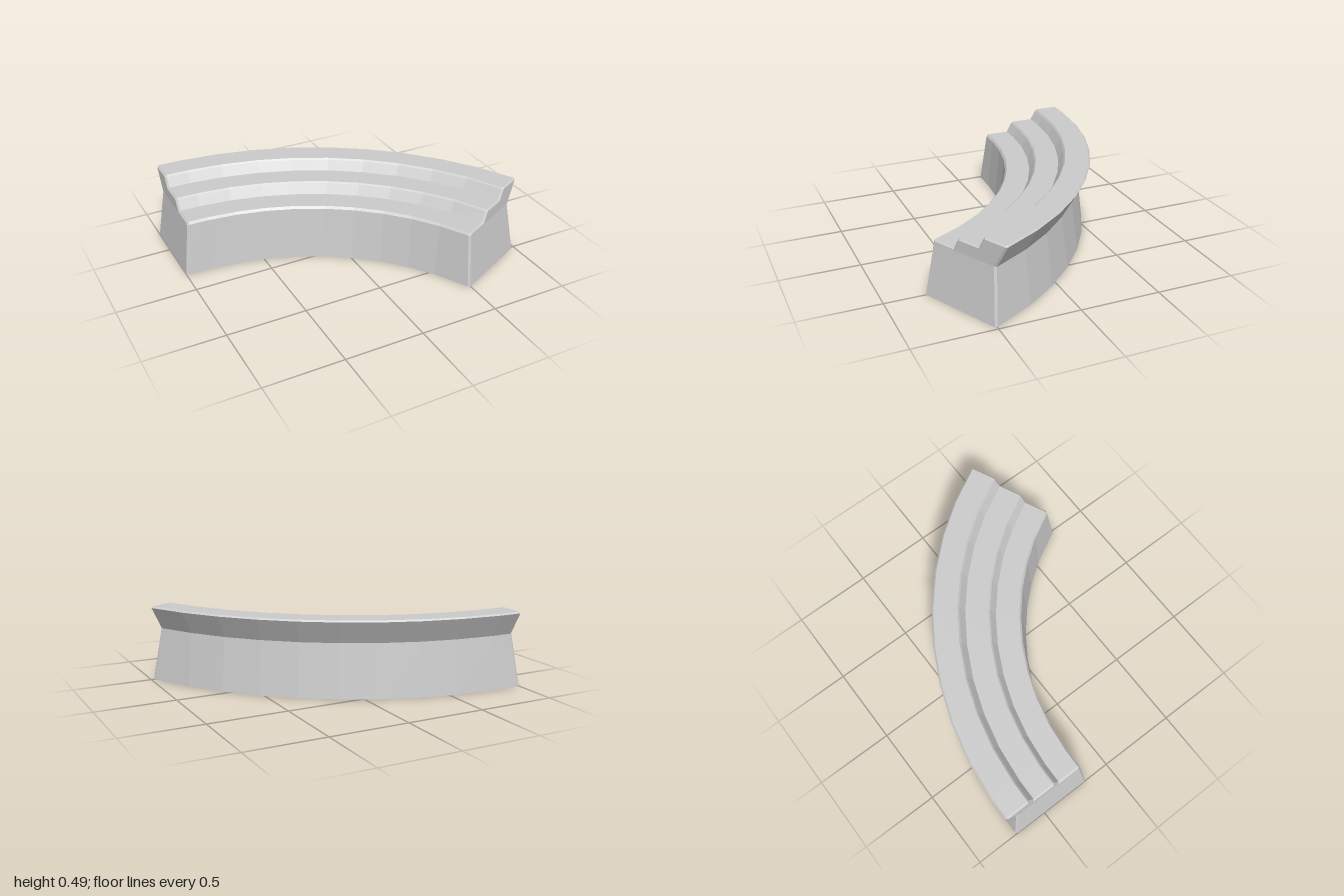
import * as THREE from 'three';

// Cross-section as [radius, height], from inner foot over the steps to outer foot
const PROFILE = [
  [1.51, 0], [1.545, 0.335], [1.557, 0.35], [1.705, 0.35], [1.74, 0.412], [1.75, 0.42],
  [1.895, 0.42], [1.93, 0.48], [1.94, 0.49], [2.09, 0.49], [2.1, 0.48], [2.02, 0.337], [2.06, 0],
];
const N = PROFILE.length;
const CENTER = { x: -0.902, z: 1.34 };
const BEVEL = 0.012;
const rad = THREE.MathUtils.degToRad;

// Profile shrunk slightly, for the bevelled rim of the end faces (foot stays on the ground)
function insetProfile(d) {
  return PROFILE.map(([r, y], i) => {
    const a = PROFILE[(i + N - 1) % N], b = PROFILE[(i + 1) % N];
    const n1 = new THREE.Vector2(y - a[1], a[0] - r).normalize();
    const n2 = new THREE.Vector2(b[1] - y, r - b[0]).normalize();
    const n = n1.add(n2).normalize();
    return [r + n.x * d, y === 0 ? 0 : y + n.y * d];
  });
}

// One cross-section at an angle on the arc, pushed along the tangent by shift(y)
function ring(profile, degrees, shift = () => 0) {
  const a = rad(degrees), s = Math.sin(a), c = Math.cos(a);
  return profile.map(([r, y]) => {
    const t = shift(y);
    return [CENTER.x + r * s + t * c, y, CENTER.z - r * c + t * s];
  });
}

export function createModel() {
  const group = new THREE.Group();
  const inset = insetProfile(BEVEL);
  const flare = (y) => 0.045 * Math.max(0, 1 - y / 0.335); // ends splay out at the foot

  // Cross-sections along the arc
  const rings = [
    ring(inset, 0, (y) => -0.053 - flare(y)),
    ring(PROFILE, 0, (y) => -0.053 + BEVEL - flare(y)),
  ];
  for (let k = 0; k < 9; k++) rings.push(ring(PROFILE, 2.8 + 6.85 * k));
  rings.push(ring(PROFILE, 64, (y) => 0.035 - BEVEL + flare(y)));
  rings.push(ring(inset, 64, (y) => 0.035 + flare(y)));

  // Skin between the cross-sections
  const index = [];
  for (let i = 0; i < rings.length - 1; i++) {
    for (let j = 0; j < N; j++) {
      const k = (j + 1) % N;
      const a = i * N + j, b = a + N, c = (i + 1) * N + k, d = i * N + k;
      index.push(a, b, c, a, c, d);
    }
  }

  // End faces: sloping lower part and upright stepped part
  const last = (rings.length - 1) * N;
  const upper = Array.from({ length: 11 }, (_, i) => i + 1);
  for (const ids of [[0, 1, 11, 12], upper]) {
    const pts = ids.map((i) => new THREE.Vector2(...inset[i]));
    for (const [p, q, r] of THREE.ShapeUtils.triangulateShape(pts, [])) {
      const ccw = THREE.ShapeUtils.area([pts[p], pts[q], pts[r]]) > 0;
      const [a, b, c] = (ccw ? [p, q, r] : [p, r, q]).map((i) => ids[i]);
      index.push(last + a, last + b, last + c, a, c, b);
    }
  }

  const geometry = new THREE.BufferGeometry();
  geometry.setAttribute('position', new THREE.Float32BufferAttribute(rings.flat(2), 3));
  geometry.setIndex(index);
  geometry.computeVertexNormals();

  const material = new THREE.MeshStandardMaterial({ color: 0xcccccc, flatShading: true });
  const mesh = new THREE.Mesh(geometry, material);
  mesh.name = 'curvedSteppedWall';
  group.add(mesh);
  return group;
}
